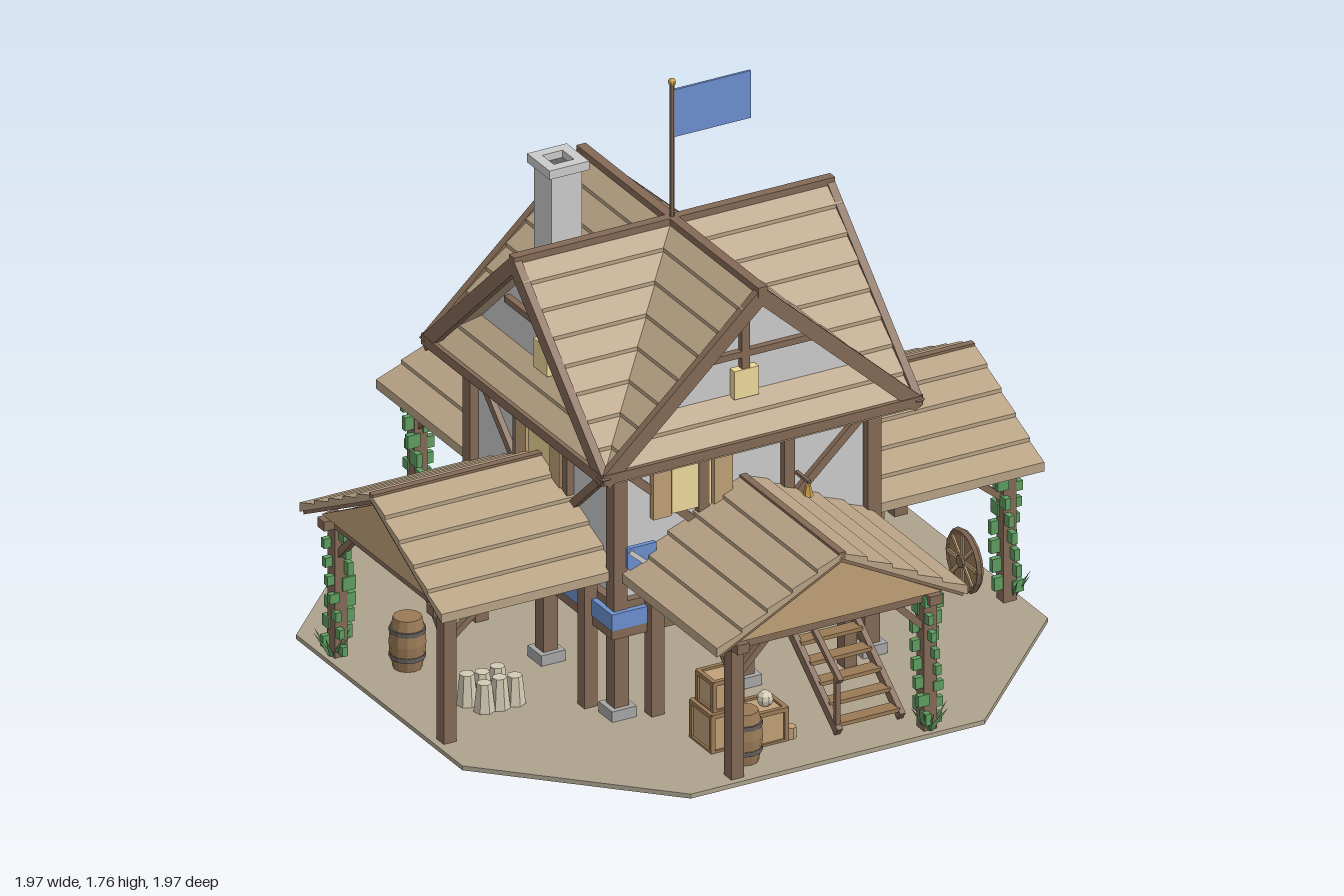
import * as THREE from 'three';

const mat = (color, side = THREE.FrontSide) => new THREE.MeshStandardMaterial({ color, side, flatShading: true });
const M = {
  roof: mat(0xb9a386), timber: mat(0x846a56), tan: mat(0xc0a078), wall: mat(0xcccccc), blue: mat(0x6c90d0),
  ground: mat(0xada38d), glow: mat(0xeed99a), stone: mat(0xa6a6a6), iron: mat(0x66605c), green: mat(0x5f9c60),
  grass: mat(0x5f9c60, THREE.DoubleSide), barrel: mat(0x9a7a56), gold: mat(0xc9a24a), pale: mat(0xd2cab4),
};
const V = (x, y, z) => new THREE.Vector3(x, y, z);

function add(parent, name, geo, material, x = 0, y = 0, z = 0) {
  const m = new THREE.Mesh(geo, material);
  m.name = name;
  m.position.set(x, y, z);
  parent.add(m);
  return m;
}
const box = (p, name, material, w, h, d, x, y, z) => add(p, name, new THREE.BoxGeometry(w, h, d), material, x, y, z);

// Squared beam from point a to point b, in the parent's own frame
function beam(p, name, a, b, w, h = w, material = M.timber) {
  const m = box(p, name, material, w, h, a.distanceTo(b), 0, 0, 0);
  m.position.copy(a).add(b).multiplyScalar(0.5);
  m.quaternion.setFromRotationMatrix(new THREE.Matrix4().lookAt(b, a, V(0, 1, 0)));
}

// One lapped roof board: d runs down the slope (+z), a0/a1 give its ends along x
function board(p, name, height, d0, d1, a0, a1) {
  const g = new THREE.BoxGeometry(1, 1, 1), pos = g.attributes.position;
  for (let i = 0; i < pos.count; i++) {
    const d = pos.getZ(i) > 0 ? d1 : d0;
    const lift = pos.getY(i) > 0 ? (d === d1 ? 0.012 : 0) : -0.017;
    pos.setXYZ(i, pos.getX(i) > 0 ? a1(d) : a0(d), height(d) + lift, d);
  }
  g.computeVertexNormals();
  add(p, name, g, M.roof);
}

function triangle(p, name, material, half, y0, y1, depth, z) {
  const s = new THREE.Shape([new THREE.Vector2(-half, y0), new THREE.Vector2(half, y0), new THREE.Vector2(0, y1)]);
  add(p, name, new THREE.ExtrudeGeometry(s, { depth, bevelEnabled: false }), material, 0, 0, z);
}

const mainY = d => 1.31 - 0.93 * d;
const wingY = d => 0.673 - 0.52 * d;

function buildRoofs(f) {
  // Main cross-gable slope, the lowest boards forming a skirt below the gable
  const E = 0.52, n = 8, step = E / n;
  for (let i = 0; i < n; i++) {
    const d0 = i * step, d1 = d0 + step;
    if (i >= 6) board(f, 'skirtBoard', mainY, d0, d1, () => -E, () => E);
    else {
      board(f, 'mainRoofBoard', mainY, d0, d1, d => d, () => E);
      board(f, 'mainRoofBoard', mainY, d0, d1, () => -E, d => -d);
    }
  }
  beam(f, 'mainRidge', V(0, 1.305, 0), V(0, 1.305, 0.525), 0.03);
  beam(f, 'eaveBoard', V(-E, 0.832, E), V(E, 0.832, E), 0.014, 0.03);
  // Side roof slopes
  const w = 0.41 / 5;
  for (let i = 0; i < 5; i++) {
    board(f, 'wingRoofBoard', wingY, i * w, i * w + w, () => 0.41, () => 0.985);
    board(f, 'wingRoofBoard', wingY, i * w, i * w + w, () => -0.985, () => -0.41);
  }
  beam(f, 'wingRidge', V(0, 0.666, 0.41), V(0, 0.666, 0.985), 0.022);
  for (const s of [-1, 1]) {
    beam(f, 'mainBargeBoard', V(0, 1.29, 0.512), V(s * 0.515, 0.818, 0.512), 0.025, 0.045);
    beam(f, 'wingBargeBoard', V(0, 0.655, 0.97), V(s * 0.4, 0.448, 0.97), 0.02, 0.02);
  }
}

function buildGableAndWall(f, windowX) {
  triangle(f, 'gableWall', M.wall, 0.4, 0.92, 1.298, 0.02, 0.385);
  beam(f, 'gablePost', V(0, 0.93, 0.415), V(0, 1.27, 0.415), 0.025);
  beam(f, 'gableTie', V(-0.22, 1.065, 0.415), V(0.22, 1.065, 0.415), 0.02);
  box(f, 'gableWindow', M.glow, 0.08, 0.09, 0.03, 0, 0.975, 0.416);
  // Upper storey wall with its framing
  box(f, 'wall', M.wall, 0.82, 0.52, 0.02, 0, 0.6, 0.4);
  box(f, 'topPlate', M.timber, 0.86, 0.035, 0.035, 0, 0.815, 0.415);
  box(f, 'cornerPost', M.timber, 0.045, 0.5, 0.045, 0.415, 0.57, 0.415);
  box(f, 'floorBeam', M.timber, 0.9, 0.03, 0.04, 0, 0.29, 0.43);
  box(f, 'blueBand', M.blue, 0.905, 0.052, 0.02, 0, 0.331, 0.4425);
  box(f, 'sill', M.timber, 0.86, 0.025, 0.03, 0, 0.368, 0.42);
  for (const s of [-1, 1]) {
    box(f, 'wallStud', M.timber, 0.035, 0.46, 0.03, s * 0.14, 0.58, 0.418);
    beam(f, 'wallBrace', V(s * 0.16, 0.57, 0.415), V(s * 0.4, 0.79, 0.415), 0.025);
    box(f, 'shutter', M.tan, 0.06, 0.155, 0.02, windowX + s * 0.1, 0.695, 0.43);
  }
  box(f, 'window', M.glow, 0.13, 0.16, 0.02, windowX, 0.7, 0.422);
  beam(f, 'windowLintel', V(windowX - 0.075, 0.785, 0.428), V(windowX + 0.075, 0.785, 0.428), 0.018);
  // Ground floor supports on stone footings
  for (const x of [0, 0.41]) {
    box(f, 'groundPost', M.timber, 0.048, 0.27, 0.048, x, 0.15, 0.41);
    box(f, 'footing', M.stone, 0.08, 0.035, 0.08, x, 0.03, 0.41);
  }
}

function buildPorch(f) {
  triangle(f, 'porchGable', M.tan, 0.345, 0.455, 0.638, 0.02, 0.93);
  box(f, 'porchTie', M.timber, 0.7, 0.03, 0.04, 0, 0.44, 0.915);
  for (const s of [-1, 1]) {
    const x = s * 0.315;
    box(f, 'porchPost', M.timber, 0.042, 0.43, 0.042, x, 0.225, 0.915);
    box(f, 'innerPorchPost', M.timber, 0.042, 0.43, 0.042, x, 0.225, 0.455);
    box(f, 'porchBeam', M.timber, 0.04, 0.03, 0.56, x, 0.44, 0.69);
    beam(f, 'kneeBrace', V(x, 0.34, 0.9), V(x, 0.43, 0.79), 0.02);
    beam(f, 'kneeBrace', V(s * 0.3, 0.34, 0.915), V(s * 0.21, 0.43, 0.915), 0.02);
  }
}

function tuft(p, x, z, size) {
  for (let i = 0; i < 7; i++) {
    const a = i * 2.4, r = size * 0.3;
    const m = add(p, 'grassBlade', new THREE.ConeGeometry(0.009, size, 3), M.grass,
      x + Math.cos(a) * r, 0.01 + size * 0.42, z + Math.sin(a) * r);
    m.rotation.set(Math.sin(a) * 0.6, 0, -Math.cos(a) * 0.6);
  }
}

function vine(p, x, z) {
  for (let i = 0; i < 22; i++) {
    const a = i * 2.2, s = 0.03 + 0.006 * (i % 3);
    const leaf = box(p, 'vineLeaf', M.green, s, s, 0.018,
      x + Math.cos(a) * 0.03, 0.04 + i * 0.0185, z + Math.sin(a) * 0.03);
    leaf.rotation.y = Math.round(a / (Math.PI / 2)) * Math.PI / 2;
  }
  tuft(p, x, z + 0.015, 0.1);
}

function barrel(p, x, z) {
  const g = new THREE.Group();
  g.name = 'barrel';
  g.position.set(x, 0.014, z);
  p.add(g);
  const profile = [[0, 0], [0.042, 0], [0.051, 0.045], [0.054, 0.08], [0.051, 0.115], [0.042, 0.16], [0, 0.16]];
  add(g, 'staves', new THREE.LatheGeometry(profile.map(q => new THREE.Vector2(...q)), 12), M.barrel);
  for (const y of [0.04, 0.12]) add(g, 'hoop', new THREE.CylinderGeometry(0.0535, 0.0535, 0.014, 12), M.iron, 0, y, 0);
}

function crate(p, x, y, z, s) {
  box(p, 'crate', M.tan, s, s, s, x, y + s / 2, z);
  for (const u of [-1, 1]) for (const v of [-1, 1]) {
    const o = s / 2;
    box(p, 'crateEdge', M.barrel, 0.014, s + 0.006, 0.014, x + u * o, y + o, z + v * o);
    box(p, 'crateEdge', M.barrel, s + 0.006, 0.014, 0.014, x, y + o + u * o, z + v * o);
    box(p, 'crateEdge', M.barrel, 0.014, 0.014, s + 0.006, x + v * o, y + o + u * o, z);
  }
}

function shield(f, x, y, z) {
  const s = new THREE.Shape([[-0.048, 0.05], [0.048, 0.05], [0.048, -0.01], [0, -0.055], [-0.048, -0.01]]
    .map(q => new THREE.Vector2(...q)));
  add(f, 'shield', new THREE.ExtrudeGeometry(s, { depth: 0.015, bevelEnabled: false }), M.blue, x, y, z);
  beam(f, 'shieldStripe', V(x - 0.04, y + 0.04, z + 0.012), V(x + 0.026, y - 0.018, z + 0.012), 0.014, 0.014, M.wall);
}

function buildStairs(p) {
  for (const x of [0.07, 0.275]) beam(p, 'stairStringer', V(x, 0.025, 0.84), V(x, 0.31, 0.455), 0.018, 0.03);
  for (let i = 0; i < 7; i++) box(p, 'stairTread', M.barrel, 0.2, 0.012, 0.045, 0.172, 0.045 + i * 0.041, 0.815 - i * 0.054);
  beam(p, 'handrail', V(0.07, 0.19, 0.85), V(0.07, 0.43, 0.48), 0.016);
  for (const t of [0.03, 0.95]) beam(p, 'railPost', V(0.07, 0.02 + 0.28 * t, 0.84 - 0.37 * t), V(0.07, 0.2 + 0.23 * t, 0.84 - 0.36 * t), 0.015);
}

function buildYard(p) {
  [[-0.24, 0.84], [0.65, -0.11], [0.755, -0.215], [0.23, -0.72], [-0.78, -0.15]].forEach(q => barrel(p, ...q));
  crate(p, -0.24, 0.014, 0.7, 0.115);
  crate(p, -0.24, 0.135, 0.7, 0.09);
  crate(p, -0.125, 0.014, 0.74, 0.1);
  add(p, 'sack', new THREE.SphereGeometry(0.025, 8, 6), M.pale, -0.115, 0.135, 0.74);
  add(p, 'cup', new THREE.CylinderGeometry(0.018, 0.018, 0.035, 8), M.tan, -0.055, 0.032, 0.78);
  // Wheel leaning by the right porch
  const wheel = new THREE.Group();
  wheel.name = 'wheel';
  wheel.position.set(0.835, 0.112, 0.215);
  wheel.rotation.y = Math.PI / 2;
  p.add(wheel);
  add(wheel, 'rim', new THREE.TorusGeometry(0.088, 0.011, 5, 16), M.timber);
  add(wheel, 'disc', new THREE.CylinderGeometry(0.085, 0.085, 0.012, 16), M.barrel).rotation.x = Math.PI / 2;
  for (let i = 0; i < 4; i++) box(wheel, 'spoke', M.tan, 0.165, 0.012, 0.022, 0, 0, 0).rotation.z = i * Math.PI / 4;
  add(wheel, 'hub', new THREE.CylinderGeometry(0.02, 0.02, 0.035, 8), M.timber).rotation.x = Math.PI / 2;
  // Stacked logs behind and short pale stumps on the left
  for (let r = 0; r < 4; r++) for (let i = 0; i < 5 - r; i++)
    add(p, 'log', new THREE.CylinderGeometry(0.021, 0.021, 0.18, 8), i % 2 ? M.timber : M.barrel,
      -0.2 + i * 0.043 + r * 0.0215, 0.035 + r * 0.037, -0.74).rotation.x = Math.PI / 2;
  for (let i = 0; i < 6; i++)
    add(p, 'stump', new THREE.CylinderGeometry(0.022, 0.032, 0.1 - (i % 2) * 0.012, 7), M.pale,
      -0.75 + (i % 3) * 0.05 + Math.floor(i / 3) * 0.02, 0.06, 0.14 + Math.floor(i / 3) * 0.065);
}

export function createModel() {
  const model = new THREE.Group();
  model.name = 'timberHouse';

  // Eight-sided ground slab
  const a = 0.957, b = 0.48;
  const outline = [[a, -b], [a, b], [b, a], [-b, a], [-a, b], [-a, -b], [-b, -a], [b, -a]].map(q => new THREE.Vector2(...q));
  add(model, 'ground', new THREE.ExtrudeGeometry(new THREE.Shape(outline), { depth: 0.014, bevelEnabled: false }), M.ground, 0, 0.014, 0)
    .rotation.x = Math.PI / 2;

  // Four matching faces: front, right, back, left
  const windows = [-0.18, 0, 0.2, 0];
  ['front', 'right', 'back', 'left'].forEach((name, i) => {
    const f = new THREE.Group();
    f.name = name + 'Side';
    f.rotation.y = i * Math.PI / 2;
    model.add(f);
    buildRoofs(f);
    buildGableAndWall(f, windows[i]);
    buildPorch(f);
    vine(f, i % 2 ? -0.315 : 0.315, 0.915);
    if (i === 0) shield(f, -0.35, 0.5, 0.43);
    if (i === 1) shield(f, 0.26, 0.695, 0.43);
  });
  box(model, 'upperFloor', M.timber, 0.86, 0.02, 0.86, 0, 0.295, 0);

  // Chimney with open cap
  const cx = -0.225, cz = -0.26;
  box(model, 'chimney', M.wall, 0.1, 0.44, 0.1, cx, 1.2, cz);
  for (const s of [-1, 1]) {
    box(model, 'chimneyCap', M.wall, 0.13, 0.028, 0.032, cx, 1.434, cz + s * 0.049);
    box(model, 'chimneyCap', M.wall, 0.032, 0.028, 0.066, cx + s * 0.049, 1.434, cz);
  }
  box(model, 'flue', M.iron, 0.066, 0.006, 0.066, cx, 1.422, cz);

  // Flag on the roof crossing
  add(model, 'flagpole', new THREE.CylinderGeometry(0.008, 0.008, 0.46, 8), M.timber, 0, 1.52, 0);
  add(model, 'poleTip', new THREE.SphereGeometry(0.012, 8, 6), M.gold, 0, 1.745, 0);
  box(model, 'flag', M.blue, 0.25, 0.15, 0.008, 0.131, 1.645, 0);

  // Hanging lantern on the front wall
  beam(model, 'lanternArm', V(0.17, 0.645, 0.42), V(0.17, 0.645, 0.495), 0.01);
  add(model, 'lantern', new THREE.CylinderGeometry(0.008, 0.016, 0.035, 6), M.gold, 0.17, 0.615, 0.485);

  buildStairs(model);
  buildYard(model);
  return model;
}
